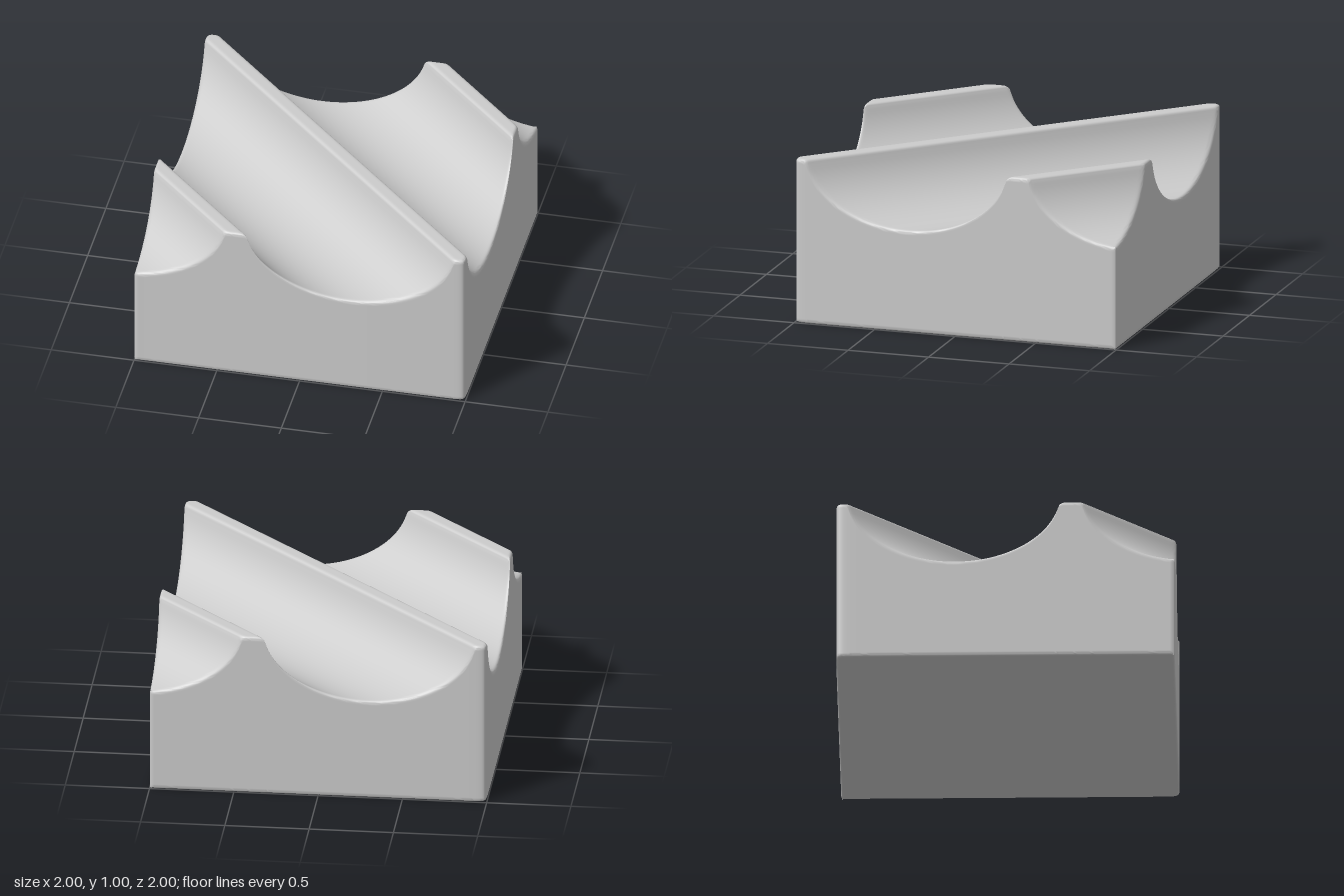
import * as THREE from 'three';
import { toCreasedNormals } from 'three/addons/utils/BufferGeometryUtils.js';

const BEVEL = 0.018;
const PITCH = 0.979; // distance between ridges, measured across them
const RADIUS = 0.447; // groove radius
const AXIS_Y = 1.067; // height of the groove axes

// Half of one period: [distance from ridge centre, height]
function halfProfile() {
  const pts = [[0, 1], [0.008, 1], [0.017, 1]];
  // rounded shoulder of the ridge
  for (let i = 0; i <= 4; i++) {
    const a = (i / 4) * Math.PI / 2;
    pts.push([0.028 + 0.022 * Math.sin(a), 0.98 + 0.02 * Math.cos(a)]);
  }
  // round groove down to its lowest line
  const start = Math.asin((AXIS_Y - 0.965) / RADIUS);
  for (let i = 0; i <= 24; i++) {
    const a = start + (Math.PI / 2 - start) * i / 24;
    pts.push([PITCH / 2 - RADIUS * Math.cos(a), AXIS_Y - RADIUS * Math.sin(a)]);
  }
  return pts;
}

// Sections along u = x - z, from corner to corner: half length s along x + z, height y
function sections() {
  const half = halfProfile();
  const period = [...half.slice(1).reverse().map(([d, y]) => [-d, y]), ...half.slice(0, -1)];
  const uEnd = 1.985;
  const list = [];
  for (let k = -2; k <= 2; k++) {
    for (const [d, y] of period) {
      const u = (k * PITCH + d) * Math.SQRT2;
      if (Math.abs(u) < uEnd - 0.005) list.push({ u, y, s: 2 - Math.hypot(u, 0.025) });
    }
  }
  // softened outer corners
  const end = (u, s) => ({ u, s, y: 0.625 });
  return [end(-1.99, 0), end(-uEnd, 0.015), ...list, end(uEnd, 0.015), end(1.99, 0)];
}

// Closed ring of [v, y] around one section, bevelled top and bottom
function ring(s, y) {
  const side = [];
  const add = (inset, h) => side.push([Math.max(0, s - 2 * inset), h]);
  add(BEVEL + 0.01, 0);
  for (let i = 0; i <= 4; i++) {
    const a = i / 4 * Math.PI / 2;
    add(BEVEL * (1 - Math.sin(a)), BEVEL * (1 - Math.cos(a)));
  }
  add(0, BEVEL + 0.01);
  add(0, y - BEVEL - 0.01);
  for (let i = 0; i <= 4; i++) {
    const a = i / 4 * Math.PI / 2;
    add(BEVEL * (1 - Math.cos(a)), y - BEVEL * (1 - Math.sin(a)));
  }
  add(BEVEL + 0.01, y);
  return [...side, ...side.slice().reverse().map(([v, h]) => [-v, h])];
}

export function createModel() {
  const position = [], index = [];
  const list = sections();
  let n = 0;
  list.forEach(({ u, s, y }, j) => {
    const loop = ring(s, y);
    n = loop.length;
    for (const [v, h] of loop) position.push((v + u) / 2, h, (v - u) / 2);
    if (j === 0) return;
    for (let i = 0; i < n; i++) {
      const a = (j - 1) * n + i, c = (j - 1) * n + (i + 1) % n;
      index.push(a, a + n, c, c, a + n, c + n);
    }
  });
  const geometry = new THREE.BufferGeometry();
  geometry.setAttribute('position', new THREE.Float32BufferAttribute(position, 3));
  geometry.setIndex(index);

  const block = new THREE.Mesh(
    toCreasedNormals(geometry, 0.6),
    new THREE.MeshStandardMaterial({ color: 0xcccccc })
  );
  block.name = 'groovedBlock';
  const group = new THREE.Group();
  group.name = 'diagonalGrooveBlock';
  group.add(block);
  return group;
}
